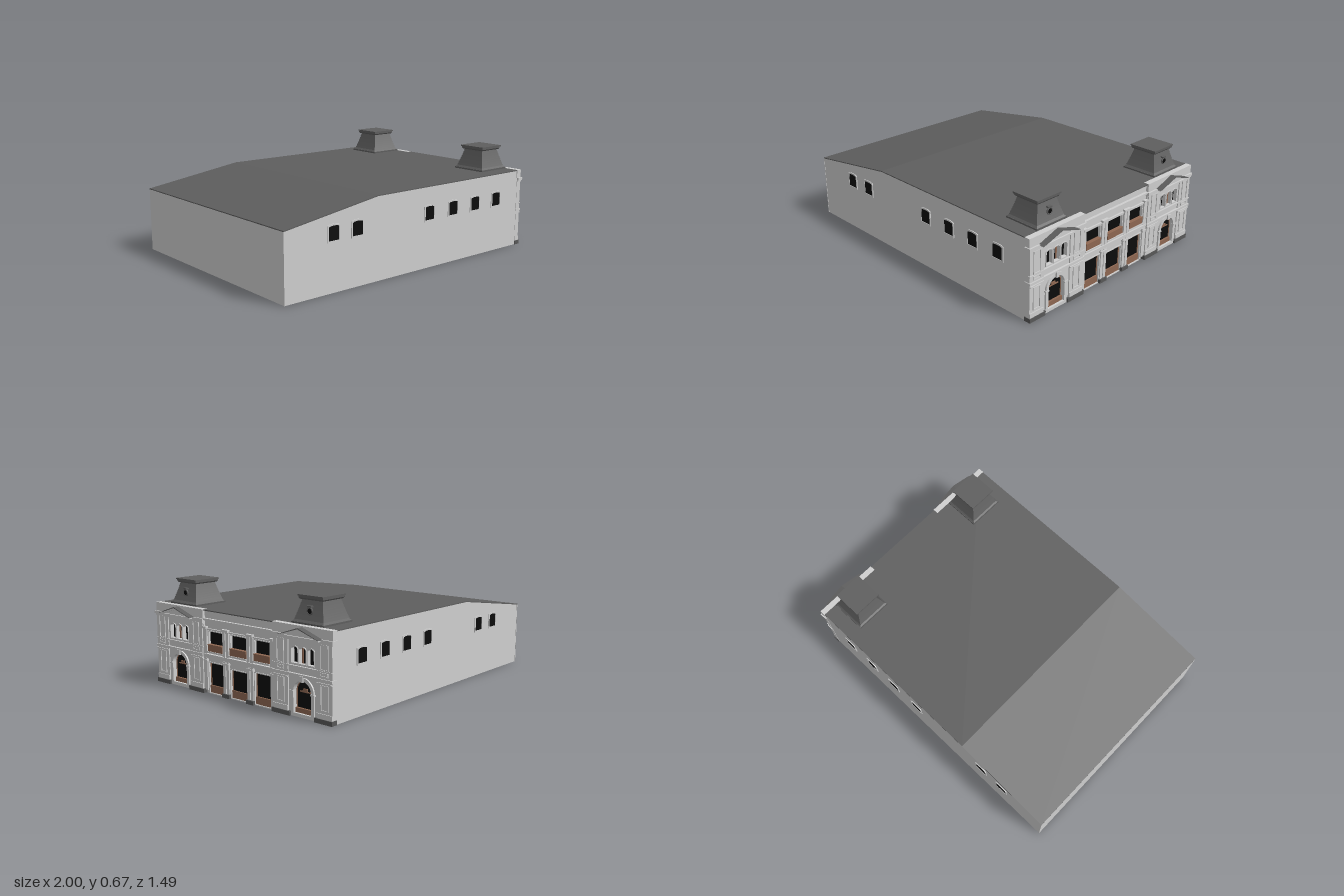
import * as THREE from 'three';

const mat = (name, color, side = THREE.FrontSide) => {
  const m = new THREE.MeshStandardMaterial({ color, side });
  m.name = name;
  return m;
};

export function createModel() {
  const root = new THREE.Group();
  root.name = 'building';
  const stone = mat('stone', 0xcfcfcf, THREE.DoubleSide);
  const slate = mat('slate', 0x5e5e5e);
  const plinthGrey = mat('plinth grey', 0x585858);
  const glass = mat('dark glass', 0x0c0c0c);
  const wood = mat('brown wood', 0x8f6852);

  const add = (name, geo, m, parent = root) => {
    const mesh = new THREE.Mesh(geo, m);
    mesh.name = name;
    parent.add(mesh);
    return mesh;
  };
  // Box from its ranges on each axis
  const box = (name, m, x0, x1, y0, y1, z0, z1) => add(name,
    new THREE.BoxGeometry(x1 - x0, y1 - y0, Math.abs(z1 - z0))
      .translate((x0 + x1) / 2, (y0 + y1) / 2, (z0 + z1) / 2), m);
  // Outline centred on u; rise is the height of the rounded head
  const outline = (Type, u, y0, y1, w, rise = 0) => {
    const p = new Type(), h = w / 2;
    p.moveTo(u - h, y0);
    p.lineTo(u + h, y0);
    p.lineTo(u + h, y1 - rise);
    if (rise) p.absellipse(u, y1 - rise, h, rise, 0, Math.PI, false);
    else p.lineTo(u - h, y1);
    p.closePath();
    return p;
  };
  // Extrudes a shape drawn in (-z, y) along x
  const facadePart = (name, shape, m, x0, x1) => add(name,
    new THREE.ExtrudeGeometry(shape, { depth: x1 - x0, bevelEnabled: false, curveSegments: 10 })
      .rotateY(Math.PI / 2).translate(x0, 0, 0), m);
  const frame = (name, z, y0, y1, w, t, rise, x0, x1, m = stone) => {
    const s = outline(THREE.Shape, -z, y0 - t, y1 + t, w + 2 * t, rise ? rise + t : 0);
    s.holes.push(outline(THREE.Path, -z, y0, y1, w, rise));
    return facadePart(name, s, m, x0, x1);
  };

  // Open-bottomed hall: side walls, back wall and roof
  const profile = new THREE.Shape([[-1, 0], [0.93, 0], [0.93, 0.507], [-0.33, 0.507], [-1, 0.407]]
    .map(([x, y]) => new THREE.Vector2(x, y)));
  const roofShape = new THREE.Shape([[-1, 0.405], [-0.33, 0.505], [0.957, 0.505], [0.957, 0.511], [-0.33, 0.511], [-1, 0.411]]
    .map(([x, y]) => new THREE.Vector2(x, y)));
  add('roof', new THREE.ExtrudeGeometry(roofShape, { depth: 1.47, bevelEnabled: false })
    .translate(0, 0, -0.735), slate);
  box('backWall', stone, -1, -0.995, 0, 0.407, -0.735, 0.735);

  for (const s of [1, -1]) {
    add('sideWall', new THREE.ShapeGeometry(profile).translate(0, 0, s * 0.733), stone);
    for (const x of [-0.66, -0.485, 0.095, 0.305, 0.51, 0.715]) {
      const pane = outline(THREE.Shape, 0, 0.302, 0.387, 0.074, 0.008);
      const rim = outline(THREE.Shape, 0, 0.292, 0.397, 0.094, 0.01);
      rim.holes.push(outline(THREE.Path, 0, 0.302, 0.387, 0.074, 0.008));
      add('sideWindow', new THREE.ExtrudeGeometry(pane, { depth: 0.006, bevelEnabled: false })
        .translate(x, 0, s * 0.733 - 0.003), glass);
      add('sideWindowFrame', new THREE.ExtrudeGeometry(rim, { depth: 0.01, bevelEnabled: false })
        .translate(x, 0, s * 0.733 - 0.005), stone);
    }
  }

  // Central facade wall with two rows of three openings
  const bays = [-0.198, 0, 0.198];
  const centre = outline(THREE.Shape, 0, 0, 0.507, 0.62);
  for (const z of bays) {
    const w = z ? 0.128 : 0.138, top = z ? 0.19 : 0.175;
    centre.holes.push(outline(THREE.Path, -z, 0.005, top, w), outline(THREE.Path, -z, 0.262, 0.382, w - 0.005));
    box('lowerWindow', glass, 0.927, 0.933, 0.05, top, z - w / 2, z + w / 2);
    box('lowerPanel', wood, 0.927, 0.942, 0, 0.05, z - w / 2, z + w / 2);
    box('upperWindow', glass, 0.927, 0.933, 0.262, 0.382, z - w / 2, z + w / 2);
    box('balcony', wood, 0.93, 0.955, 0.262, 0.3, z - w / 2, z + w / 2);
    box('balconyRail', wood, 0.93, 0.958, 0.3, 0.305, z - w / 2, z + w / 2);
    box('balconySill', stone, 0.93, 0.96, 0.252, 0.262, z - w / 2 - 0.006, z + w / 2 + 0.006);
    frame('lowerFrame', z, 0.005, top, w, 0.006, 0, 0.94, 0.95);
    frame('upperFrame', z, 0.262, 0.382, w - 0.005, 0.006, 0, 0.94, 0.95);
    box('windowHood', stone, 0.94, 0.956, 0.392, 0.4, z - w / 2 - 0.004, z + w / 2 + 0.004);
    for (const side of [-1, 1]) {
      const e = z + side * (w / 2 - 0.003);
      box('woodJamb', wood, 0.933, 0.937, 0.05, top, e - 0.003, e + 0.003);
    }
  }
  facadePart('centreWall', centre, stone, 0.925, 0.945);
  box('centreMidCornice', stone, 0.94, 0.963, 0.232, 0.246, -0.3, 0.3);
  box('centreMidLedge', stone, 0.94, 0.955, 0.218, 0.232, -0.3, 0.3);
  box('centreTopLedge', stone, 0.94, 0.954, 0.442, 0.45, -0.3, 0.3);
  box('centreTopCornice', stone, 0.94, 0.962, 0.45, 0.46, -0.3, 0.3);

  for (const s of [1, -1]) {
    // Paired pilasters between the central bays
    for (const [z, w] of [[0.089, 0.022], [0.117, 0.022], [0.282, 0.026]]) {
      const a = s * z - w / 2, b = s * z + w / 2;
      box('lowerPilaster', stone, 0.94, 0.957, 0.02, 0.218, a, b);
      box('upperPilaster', stone, 0.94, 0.957, 0.246, 0.4, a, b);
      box('lowerCapital', stone, 0.94, 0.962, 0.2, 0.21, a - 0.003, b + 0.003);
      box('upperCapital', stone, 0.94, 0.964, 0.398, 0.411, a - 0.003, b + 0.003);
    }
    box('centrePlinth', plinthGrey, 0.94, 0.966, 0, 0.024, s * 0.072, s * 0.132);

    // End pavilion wall with arched doorway and triple window
    const pz = s * 0.52;
    const wall = outline(THREE.Shape, -s * 0.515, 0, 0.51, 0.44);
    wall.holes.push(outline(THREE.Path, -pz, 0.002, 0.21, 0.132, 0.066));
    for (const dz of [-0.06, 0, 0.06]) {
      const z = pz + dz;
      wall.holes.push(outline(THREE.Path, -z, 0.302, 0.393, 0.046, 0.015));
      frame('tripleWindowFrame', z, 0.302, 0.393, 0.046, 0.005, 0.015, 0.953, 0.962);
      box('tripleWindow', glass, 0.931, 0.937, 0.3, 0.395, z - 0.024, z + 0.024);
    }
    for (const side of [-1, 1]) {
      const e = pz + side * 0.016;
      box('curtain', wood, 0.937, 0.941, 0.302, 0.393, e - 0.005, e + 0.005);
    }
    facadePart('pavilionWall', wall, stone, 0.93, 0.957);
    facadePart('archGlass', outline(THREE.Shape, -pz, 0.04, 0.21, 0.13, 0.065), glass, 0.931, 0.937);
    box('archDoor', wood, 0.931, 0.95, 0, 0.05, pz - 0.066, pz + 0.066);
    frame('archWoodFrame', pz, 0.04, 0.203, 0.12, 0.005, 0.06, 0.937, 0.941, wood);
    box('archTransom', wood, 0.937, 0.942, 0.14, 0.147, pz - 0.04, pz + 0.04);
    box('archTransomHead', wood, 0.937, 0.942, 0.147, 0.162, pz - 0.016, pz + 0.016);
    frame('archSurround', pz, 0.024, 0.21, 0.132, 0.02, 0.066, 0.953, 0.967);
    box('keystone', stone, 0.953, 0.976, 0.204, 0.238, pz - 0.012, pz + 0.012);
    for (const side of [-1, 1])
      box('archImpost', stone, 0.953, 0.971, 0.138, 0.148, pz + side * 0.064, pz + side * 0.092);

    // Panelled corner piers and their dark plinths
    for (const [z0, z1] of [[0.625, 0.735], [0.3, 0.412]]) {
      const c = s * (z0 + z1) / 2;
      box('pier', stone, 0.95, 0.964, 0.02, 0.442, s * z0, s * z1);
      frame('lowerPierPanel', c, 0.075, 0.205, 0.045, 0.006, 0, 0.962, 0.969);
      frame('middlePierPanel', c, 0.262, 0.274, 0.045, 0.005, 0, 0.962, 0.969);
      frame('upperPierPanel', c, 0.297, 0.425, 0.045, 0.006, 0, 0.962, 0.969);
      box('pierFoot', stone, 0.95, 0.969, 0.024, 0.055, s * z0, s * z1);
      box('pierImpost', stone, 0.95, 0.97, 0.216, 0.224, s * z0, s * z1);
    }
    box('outerPlinth', plinthGrey, 0.93, 0.973, 0, 0.026, s * 0.612, s * 0.739);
    box('innerPlinth', plinthGrey, 0.93, 0.973, 0, 0.026, s * 0.29, s * 0.428);

    // Horizontal mouldings, cornice and parapet
    box('midBand', stone, 0.93, 0.971, 0.232, 0.246, s * 0.293, s * 0.739);
    box('sillBand', stone, 0.95, 0.968, 0.282, 0.289, s * 0.293, s * 0.739);
    box('frieze', stone, 0.93, 0.967, 0.43, 0.442, s * 0.293, s * 0.74);
    box('cornice', stone, 0.93, 0.972, 0.442, 0.458, s * 0.288, s * 0.745);
    box('parapet', stone, 0.925, 0.962, 0.458, 0.512, s * 0.293, s * 0.738);

    // Pediment with slate-topped raking mouldings
    const tri = (a, y0, y1) => [[-a, y0], [a, y0], [0, y1]].map(([u, y]) => new THREE.Vector2(u - pz, y));
    facadePart('pediment', new THREE.Shape(tri(0.135, 0.456, 0.494)), stone, 0.95, 0.982);
    const rake = new THREE.Shape([[-0.145, 0.456], [-0.115, 0.456], [0, 0.488], [0.115, 0.456], [0.145, 0.456], [0, 0.5]]
      .map(([u, y]) => new THREE.Vector2(u - pz, y)));
    facadePart('rakingMoulding', rake, stone, 0.95, 0.996);
    const cover = new THREE.Shape([[-0.15, 0.456], [-0.143, 0.456], [0, 0.5], [0.143, 0.456], [0.15, 0.456], [0, 0.506]]
      .map(([u, y]) => new THREE.Vector2(u - pz, y)));
    facadePart('pedimentRoof', cover, slate, 0.95, 1);
    box('pedimentBase', stone, 0.95, 0.992, 0.446, 0.456, pz - 0.14, pz + 0.14);

    // Mansard turret
    const turret = new THREE.Group();
    turret.name = 'turret';
    turret.position.set(0.803, 0, pz);
    root.add(turret);
    const tier = (name, y0, y1, r0, r1) => {
      const g = new THREE.CylinderGeometry(r1 * Math.SQRT2, r0 * Math.SQRT2, y1 - y0, 4, 1)
        .rotateY(Math.PI / 4).toNonIndexed();
      g.computeVertexNormals();
      add(name, g.translate(0, (y0 + y1) / 2, 0), slate, turret);
    };
    tier('turretBase', 0.505, 0.521, 0.119, 0.119);
    tier('turretSkirt', 0.521, 0.533, 0.116, 0.104);
    const half = t => 0.104 - 0.027 * t + 0.006 * (1 - t) * (1 - t) - 0.006;
    for (let i = 0; i < 8; i++)
      tier('slateCourse', 0.533 + i * 0.014, 0.547 + i * 0.014, half(i / 8) + 0.004, half((i + 1) / 8) + 0.002);
    tier('turretNeck', 0.642, 0.65, 0.083, 0.089);
    tier('turretCap', 0.65, 0.66, 0.089, 0.089);
    tier('turretTop', 0.66, 0.668, 0.094, 0.094);
    add('oculus', new THREE.CylinderGeometry(0.014, 0.014, 0.012, 16).rotateZ(Math.PI / 2)
      .translate(0.094, 0.584, 0), glass, turret);
    add('oculusRing', new THREE.TorusGeometry(0.018, 0.005, 6, 20).rotateY(Math.PI / 2)
      .translate(0.096, 0.584, 0), slate, turret);
    add('oculusHood', new THREE.BoxGeometry(0.022, 0.008, 0.03).translate(0.092, 0.609, 0), slate, turret);
  }
  return root;
}
